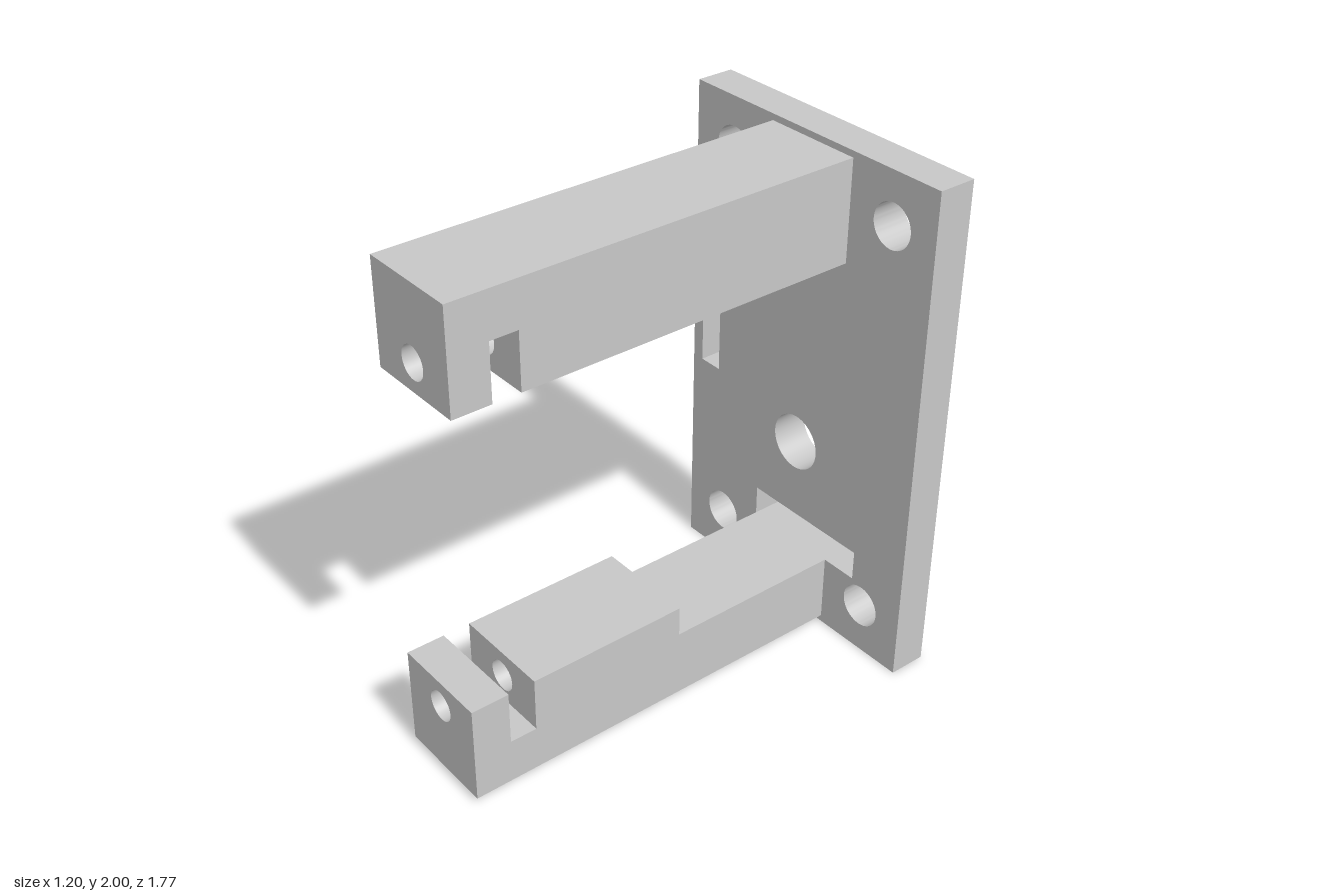
import * as THREE from 'three';
import { mergeGeometries, toCreasedNormals } from 'three/addons/utils/BufferGeometryUtils.js';

const BACK = -0.8875, PLATE_FRONT = -0.7375, FRONT = 0.8875;
const NOTCH_BACK = 0.63, NOTCH_FRONT = 0.7375, BORE_END = 0.33;
const HALF = 0.2, BORE = 0.061;

const vec = (x, y, z) => new THREE.Vector3(x, y, z);
const polygon = (pts) => new THREE.Shape(pts.map(([x, y]) => new THREE.Vector2(x, y)));
const rect = (x0, y0, x1, y1) => polygon([[x0, y0], [x1, y0], [x1, y1], [x0, y1]]);
const circle = (x, y, r) => new THREE.Path().absarc(x, y, r, 0, Math.PI * 2, true);

// Flat face placed by its own axes and origin
function face(shape, u, v, n, origin) {
  const m = new THREE.Matrix4().makeBasis(u, v, n).setPosition(origin);
  return new THREE.ShapeGeometry(shape, 16).applyMatrix4(m).toNonIndexed();
}

// Arm skin from a counter-clockwise (z, y) side profile; the end on the plate stays open
function armGeometry(profile, boreY) {
  const parts = [
    face(polygon(profile), vec(0, 0, 1), vec(0, 1, 0), vec(-1, 0, 0), vec(-HALF, 0, 0)),
    face(polygon(profile.map(([z, y]) => [-z, y])), vec(0, 0, -1), vec(0, 1, 0), vec(1, 0, 0), vec(HALF, 0, 0)),
  ];
  for (let i = 0; i < profile.length - 1; i++) {
    const [z0, y0] = profile[i], [z1, y1] = profile[i + 1];
    const along = vec(0, y1 - y0, z1 - z0), len = along.length();
    along.normalize();
    const shape = rect(-HALF, 0, HALF, len);
    // The front face and both notch walls are pierced by the bore
    if (z0 === z1 && z0 > 0.5) shape.holes.push(circle(0, Math.abs(boreY - y0), BORE));
    parts.push(face(shape, vec(1, 0, 0), along, vec(0, -along.z, along.y), vec(0, y0, z0)));
  }
  return mergeGeometries(parts);
}

// Inward-facing bore wall, running from front to back
function boreGeometry(points) {
  const lathe = new THREE.LatheGeometry(points.map(([r, z]) => new THREE.Vector2(r, z)), 32);
  return toCreasedNormals(lathe.rotateX(Math.PI / 2), 0.6);
}

export function createModel() {
  const model = new THREE.Group();
  model.name = 'wallBracket';
  const grey = new THREE.MeshStandardMaterial({ color: 0xc8c8c8 });
  grey.name = 'lightGrey';
  const add = (parent, name, geometry) => {
    const mesh = new THREE.Mesh(geometry, grey);
    mesh.name = name;
    parent.add(mesh);
    return mesh;
  };

  // Mounting plate with corner holes, a cable hole and two slots
  const plate = rect(-0.6, 0, 0.6, 2);
  for (const x of [-0.4, 0.4]) for (const y of [0.2, 1.8]) plate.holes.push(circle(x, y, 0.086));
  plate.holes.push(circle(0, 0.74, 0.113));
  plate.holes.push(rect(-0.55, 0.85, -0.45, 1.15));
  plate.holes.push(rect(-0.2, 0.3, 0.35, 0.42));
  const plateGeometry = new THREE.ExtrudeGeometry(plate, {
    depth: PLATE_FRONT - BACK, bevelEnabled: false, curveSegments: 32,
  });
  add(model, 'mountingPlate', toCreasedNormals(plateGeometry, 0.6)).position.z = BACK;

  // Two notched arms: the lower one is stepped down towards the plate
  const arms = [
    {
      name: 'lowerArm', boreY: 0.313,
      profile: [
        [PLATE_FRONT, 0.027], [FRONT, 0.027], [FRONT, 0.42], [NOTCH_FRONT, 0.42], [NOTCH_FRONT, 0.205],
        [NOTCH_BACK, 0.205], [NOTCH_BACK, 0.42], [-0.012, 0.42], [-0.012, 0.3], [PLATE_FRONT, 0.3],
      ],
    },
    {
      name: 'upperArm', boreY: 1.688,
      profile: [
        [PLATE_FRONT, 1.58], [NOTCH_BACK, 1.58], [NOTCH_BACK, 1.8], [NOTCH_FRONT, 1.8],
        [NOTCH_FRONT, 1.58], [FRONT, 1.58], [FRONT, 1.975], [PLATE_FRONT, 1.975],
      ],
    },
  ];
  for (const { name, boreY, profile } of arms) {
    const arm = new THREE.Group();
    arm.name = name;
    add(arm, name + 'Body', armGeometry(profile, boreY));
    add(arm, name + 'FrontBore', boreGeometry([[BORE, FRONT], [BORE, NOTCH_FRONT]])).position.y = boreY;
    add(arm, name + 'BlindBore',
      boreGeometry([[BORE, NOTCH_BACK], [BORE, BORE_END], [0, BORE_END]])).position.y = boreY;
    model.add(arm);
  }
  return model;
}
